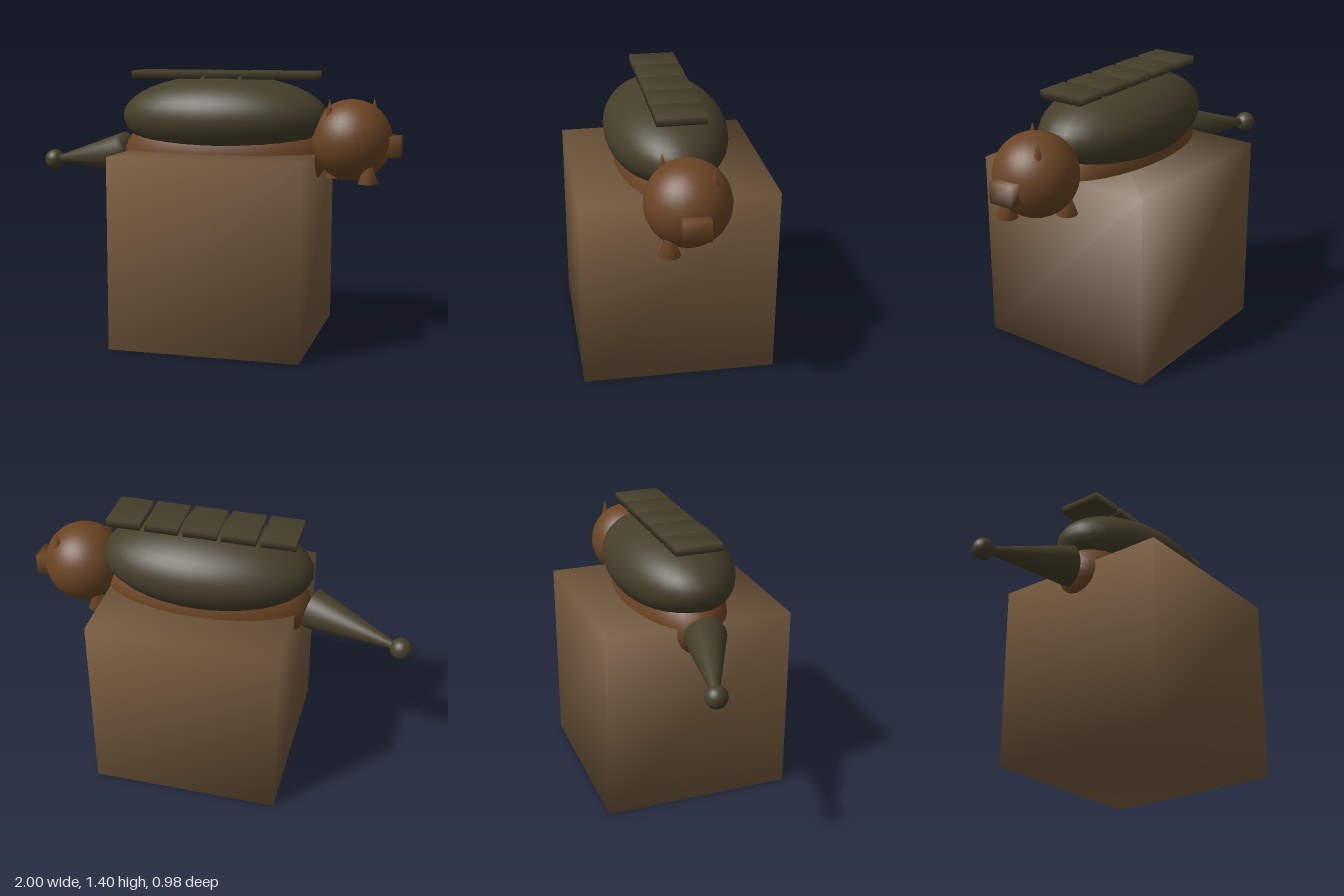
import * as THREE from 'three';
import { mergeVertices } from 'three/addons/utils/BufferGeometryUtils.js';

const mat = (name, color) => {
  const m = new THREE.MeshStandardMaterial({ color });
  m.name = name;
  return m;
};

// Share corner vertices so the shading runs smoothly over the edges
function soften(geometry) {
  geometry.deleteAttribute('normal');
  geometry.deleteAttribute('uv');
  const merged = mergeVertices(geometry, 1e-4);
  merged.computeVertexNormals();
  return merged;
}

export function createModel() {
  const model = new THREE.Group();
  model.name = 'armouredCreature';
  const skin = mat('russet brown', 0x6b4424);
  const armour = mat('dark olive', 0x453e2a);
  const block = mat('earth brown', 0x755a3e);

  function add(name, geometry, material, x, y, z) {
    const mesh = new THREE.Mesh(geometry, material);
    mesh.name = name;
    mesh.position.set(x, y, z);
    model.add(mesh);
    return mesh;
  }
  const ball = (r) => new THREE.SphereGeometry(r, 32, 24);
  const box = (w, h, d) => soften(new THREE.BoxGeometry(w, h, d));
  const cone = (top, bottom, h) => soften(new THREE.CylinderGeometry(top, bottom, h, 24));

  // Large block under the body
  add('baseBlock', box(0.98, 0.985, 0.98), block, 0.09, 0.4925, 0);

  // Body and domed shell
  add('body', ball(1), skin, 0.08, 0.96, 0).scale.set(0.545, 0.27, 0.26);
  add('shell', ball(1), armour, 0.08, 1.16, 0).scale.set(0.55, 0.22, 0.31);

  // Row of back plates
  for (let i = 0; i < 5; i++) {
    add('backPlate', box(0.172, 0.04, 0.24), armour, 0.088 + (i - 2) * 0.197, 1.38, -0.004);
  }

  // Head with snout
  add('head', ball(0.207), skin, 0.75, 1.055, 0);
  add('snout', box(0.12, 0.105, 0.13), skin, 0.94, 1.028, 0);

  // Ears and feet sit on opposite diagonals
  for (const s of [-1, 1]) {
    add('ear', cone(0, 0.025, 0.1), skin, 0.75 + s * 0.1, 1.215, -s * 0.103);
    add('foot', cone(0, 0.052, 0.15), skin, 0.752 + s * 0.098, 0.92, s * 0.102);
  }

  // Tapered tail ending in a ball
  const root = new THREE.Vector3(-0.47, 0.96, 0);
  const tip = new THREE.Vector3(-0.945, 0.89, -0.135);
  const axis = tip.clone().sub(root);
  const mid = root.clone().add(tip).multiplyScalar(0.5);
  const tail = add('tail', cone(0.012, 0.107, axis.length()), armour, mid.x, mid.y, mid.z);
  tail.quaternion.setFromUnitVectors(new THREE.Vector3(0, 1, 0), axis.normalize());
  add('tailBall', ball(0.055), armour, tip.x, tip.y, tip.z);

  return model;
}
